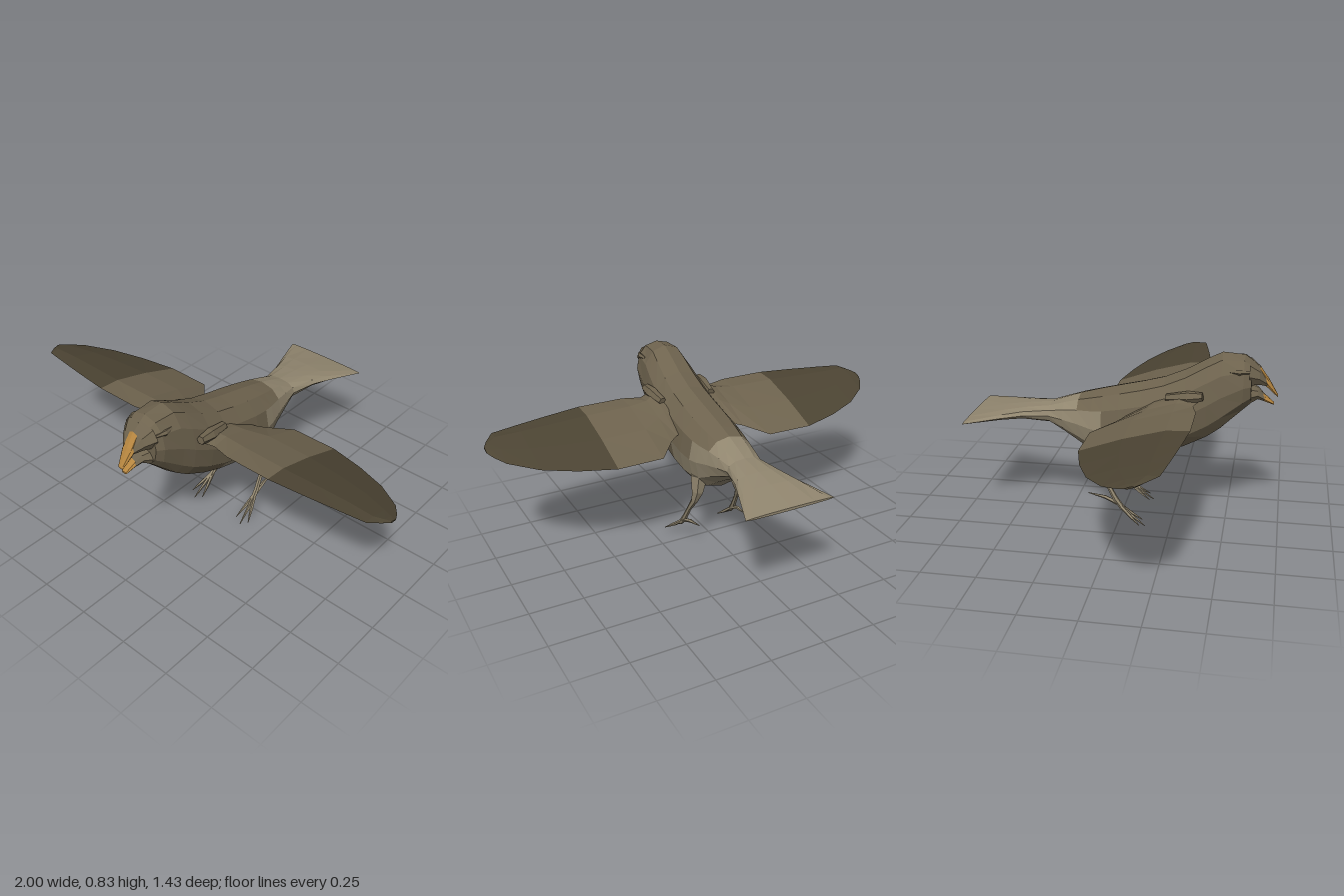
import * as THREE from 'three';

const paint = (name, color) => Object.assign(new THREE.MeshStandardMaterial({ color }), { name });
const V = (x, y, z) => new THREE.Vector3(x, y, z);

// Faceted skin over rings that run counter-clockwise about the direction of travel.
// pick(centre) gives the material index of each face.
function loft(name, rings, mats, pick = () => 0) {
  const lists = mats.map(() => []);
  const tri = (to, ...pts) => pts.forEach(p => to.push(p.x, p.y, p.z));
  const n = rings[0].length;
  const mid = pts => pts.reduce((s, p) => s.add(p), V(0, 0, 0)).divideScalar(pts.length);
  for (let i = 0; i < rings.length - 1; i++) {
    for (let j = 0; j < n; j++) {
      const k = (j + 1) % n;
      const [a, b, c, d] = [rings[i][j], rings[i][k], rings[i + 1][k], rings[i + 1][j]];
      const to = lists[pick(mid([a, b, c, d]))];
      tri(to, a, b, c);
      tri(to, a, c, d);
    }
  }
  const first = rings[0], last = rings[rings.length - 1];
  const c0 = mid(first), c1 = mid(last);
  for (let j = 0; j < n; j++) {
    const k = (j + 1) % n;
    tri(lists[pick(c0)], c0, first[k], first[j]);
    tri(lists[pick(c1)], c1, last[j], last[k]);
  }
  const geo = new THREE.BufferGeometry();
  geo.setAttribute('position', new THREE.Float32BufferAttribute(lists.flat(), 3));
  let start = 0;
  lists.forEach((l, m) => { geo.addGroup(start, l.length / 3, m); start += l.length / 3; });
  geo.computeVertexNormals();
  const mesh = new THREE.Mesh(geo, mats.length > 1 ? mats : mats[0]);
  if (mats.length === 1) geo.clearGroups();
  mesh.name = name;
  return mesh;
}

// Rounded upright section: depth, top, bottom, half width
function section([z, top, bottom, w], sides = 12) {
  const ring = [], soft = v => Math.sign(v) * Math.abs(v) ** 0.88;
  for (let j = 0; j < sides; j++) {
    const t = (j / sides) * Math.PI * 2;
    ring.push(V(w * soft(Math.cos(t)), (top + bottom) / 2 + (top - bottom) / 2 * soft(Math.sin(t)), z));
  }
  return ring;
}

// Mirror rings to the other side and keep their winding
const onSide = (rings, s) => s > 0 ? rings
  : rings.map(r => r.map(p => V(-p.x, p.y, p.z)).reverse());

// Tapering limb through points [x, y, z, radius]
function limbRings(path, sides = 6) {
  const pts = path.map(p => V(p[0], p[1], p[2]));
  return pts.map((p, i) => {
    const d = pts[Math.min(i + 1, pts.length - 1)].clone().sub(pts[Math.max(i - 1, 0)]).normalize();
    const u = V(1, 0, 0).addScaledVector(d, -d.x).normalize();
    const v = d.clone().cross(u);
    return Array.from({ length: sides }, (_, j) => {
      const t = (j / sides) * Math.PI * 2, r = path[i][3];
      return p.clone().addScaledVector(u, r * Math.cos(t)).addScaledVector(v, r * Math.sin(t));
    });
  });
}

// Wing section: span, leading z, trailing z, thickness
function wingSection([x, lead, trail, h]) {
  const at = (f, up) => {
    const z = lead + (trail - lead) * f;
    return V(x, 0.535 + 0.25 * z + up * h, z);
  };
  return [at(1, 0), at(0.6, 0.5), at(0.22, 0.6), at(0, 0.1), at(0.22, -0.4), at(0.6, -0.4)];
}

export function createModel() {
  const brown = paint('brown plumage', 0x6e634e);
  const dark = paint('dark flight feathers', 0x4c4433);
  const pale = paint('pale underside', 0x91866f);
  const horn = paint('horn beak', 0xb5853f);
  const bird = new THREE.Group();
  bird.name = 'bird';

  // Body, from rump to face
  const bodyRings = [
    [-0.34, 0.550, 0.458, 0.09], [-0.27, 0.576, 0.415, 0.104], [-0.20, 0.600, 0.368, 0.118],
    [-0.13, 0.620, 0.318, 0.135], [-0.08, 0.633, 0.296, 0.143], [0.0, 0.652, 0.295, 0.15],
    [0.1, 0.675, 0.308, 0.15], [0.2, 0.702, 0.335, 0.148], [0.3, 0.745, 0.372, 0.142],
    [0.4, 0.802, 0.422, 0.132], [0.46, 0.832, 0.465, 0.122], [0.56, 0.825, 0.566, 0.11],
    [0.595, 0.80, 0.60, 0.092],
  ].map(r => section(r));
  bird.add(loft('body', bodyRings, [brown, pale], c => (c.y < 0.47 - 0.6 * c.z ? 1 : 0)));

  // Fanned tail
  bird.add(loft('tail', [
    [-0.72, 0.490, 0.477, 0.215], [-0.56, 0.522, 0.478, 0.155],
    [-0.46, 0.537, 0.477, 0.118], [-0.34, 0.550, 0.458, 0.09],
  ].map(r => section(r)), [pale]));

  // Open beak: feathered roots and horn tips
  const beakPart = (name, mat, rows) => bird.add(loft(name, rows.map(r => section(r, 8)), [mat]));
  beakPart('upperFace', brown, [[0.585, 0.808, 0.685, 0.098], [0.63, 0.770, 0.69, 0.066], [0.665, 0.716, 0.682, 0.03]]);
  beakPart('upperBeak', horn, [[0.63, 0.775, 0.70, 0.03], [0.67, 0.718, 0.672, 0.032], [0.715, 0.641, 0.632, 0.014]]);
  beakPart('lowerFace', brown, [[0.585, 0.69, 0.596, 0.08], [0.625, 0.672, 0.622, 0.05], [0.655, 0.64, 0.612, 0.03]]);
  beakPart('lowerBeak', horn, [[0.645, 0.65, 0.614, 0.032], [0.698, 0.605, 0.596, 0.014]]);

  const inner = [
    [0.08, 0.36, 0.05, 0.09], [0.15, 0.365, 0.03, 0.08], [0.19, 0.348, 0.0, 0.06],
    [0.28, 0.37, -0.1, 0.045], [0.5, 0.37, -0.103, 0.04],
  ];
  const outer = [
    [0.5, 0.37, -0.103, 0.04], [0.67, 0.348, -0.06, 0.036], [0.82, 0.325, 0.0, 0.032],
    [0.94, 0.305, 0.085, 0.026], [0.98, 0.255, 0.14, 0.018], [1.0, 0.22, 0.18, 0.008],
  ];

  for (const s of [1, -1]) {
    const side = s > 0 ? 'left' : 'right';
    const add = (name, rings, mat) => bird.add(loft(side + name, onSide(rings, s), [mat]));

    // Wing and shoulder
    add('InnerWing', inner.map(wingSection), brown);
    add('OuterWing', outer.map(wingSection), dark);
    add('Shoulder', limbRings([[0.13, 0.64, 0.22, 0.02], [0.14, 0.652, 0.32, 0.03], [0.145, 0.66, 0.385, 0.02]]), brown);

    // Brow above the eye
    add('Brow', limbRings([[0.09, 0.765, 0.5, 0.008], [0.095, 0.765, 0.54, 0.014], [0.085, 0.765, 0.585, 0.006]], 5), brown);

    // Leg and toes
    add('Leg', limbRings([
      [0.095, 0.38, -0.09, 0.045], [0.108, 0.30, -0.095, 0.03], [0.118, 0.25, -0.085, 0.017],
      [0.128, 0.19, -0.047, 0.011], [0.134, 0.125, -0.01, 0.013], [0.137, 0.08, 0.025, 0.012],
    ]), pale);
    for (const [tx, ty, tz] of [[0.112, 0.017, 0.115], [0.15, 0.004, 0.132], [0.183, 0.02, 0.11]]) {
      add('FrontToe', limbRings([
        [0.135, 0.105, 0.0, 0.009], [0.135 + (tx - 0.135) * 0.55, 0.055, 0.062, 0.008], [tx, ty, tz, 0.002],
      ], 5), pale);
    }
    add('BackToe', limbRings([
      [0.136, 0.1, 0.01, 0.01], [0.132, 0.13, -0.06, 0.009], [0.125, 0.143, -0.143, 0.002],
    ], 5), pale);
  }
  return bird;
}
